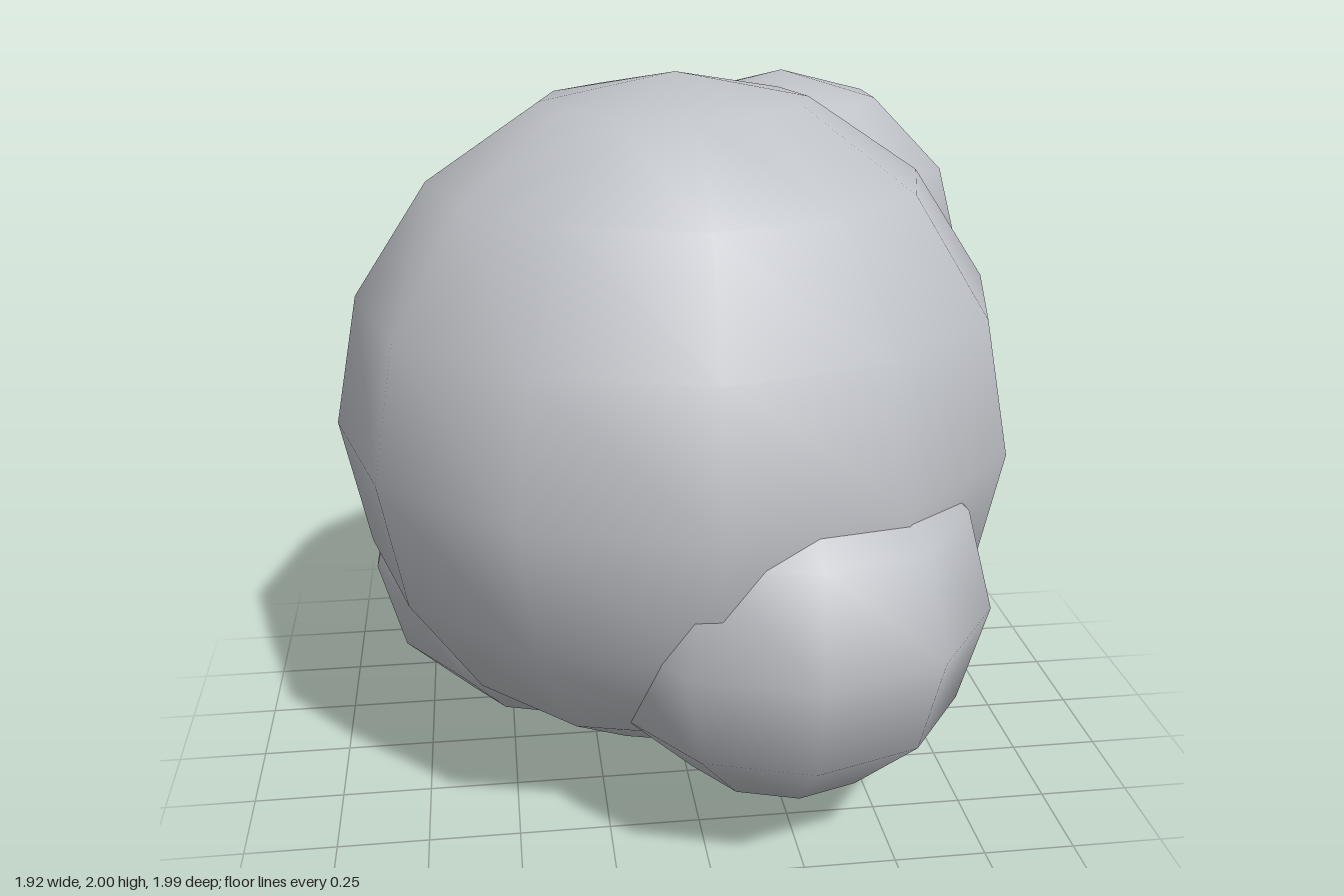
import * as THREE from 'three';

export function createModel() {
  const model = new THREE.Group();
  model.name = 'lumpyBoulder';
  const stone = new THREE.MeshStandardMaterial({ color: 0xbfc2c7 });
  stone.name = 'pale grey stone';

  // A smooth-shaded, low-sided ball with a vertex column facing +z
  function ball(name, radius, sides, rings, position) {
    const geometry = new THREE.SphereGeometry(radius, sides, rings);
    geometry.rotateY(Math.PI / 2);
    const mesh = new THREE.Mesh(geometry, stone);
    mesh.name = name;
    mesh.position.set(...position);
    model.add(mesh);
  }

  // Main body
  ball('body', 0.96, 12, 8, [0, 1.04, -0.035]);

  // Three smaller lumps sunk into the body
  const lumps = {
    upperBackLump: [0.36, 1.4, -0.4],
    lowerFrontLump: [0.237, 0.675, 0.447],
    lowerBackLump: [-0.363, 0.55, -0.28],
  };
  for (const [name, position] of Object.entries(lumps)) ball(name, 0.55, 10, 6, position);

  return model;
}
